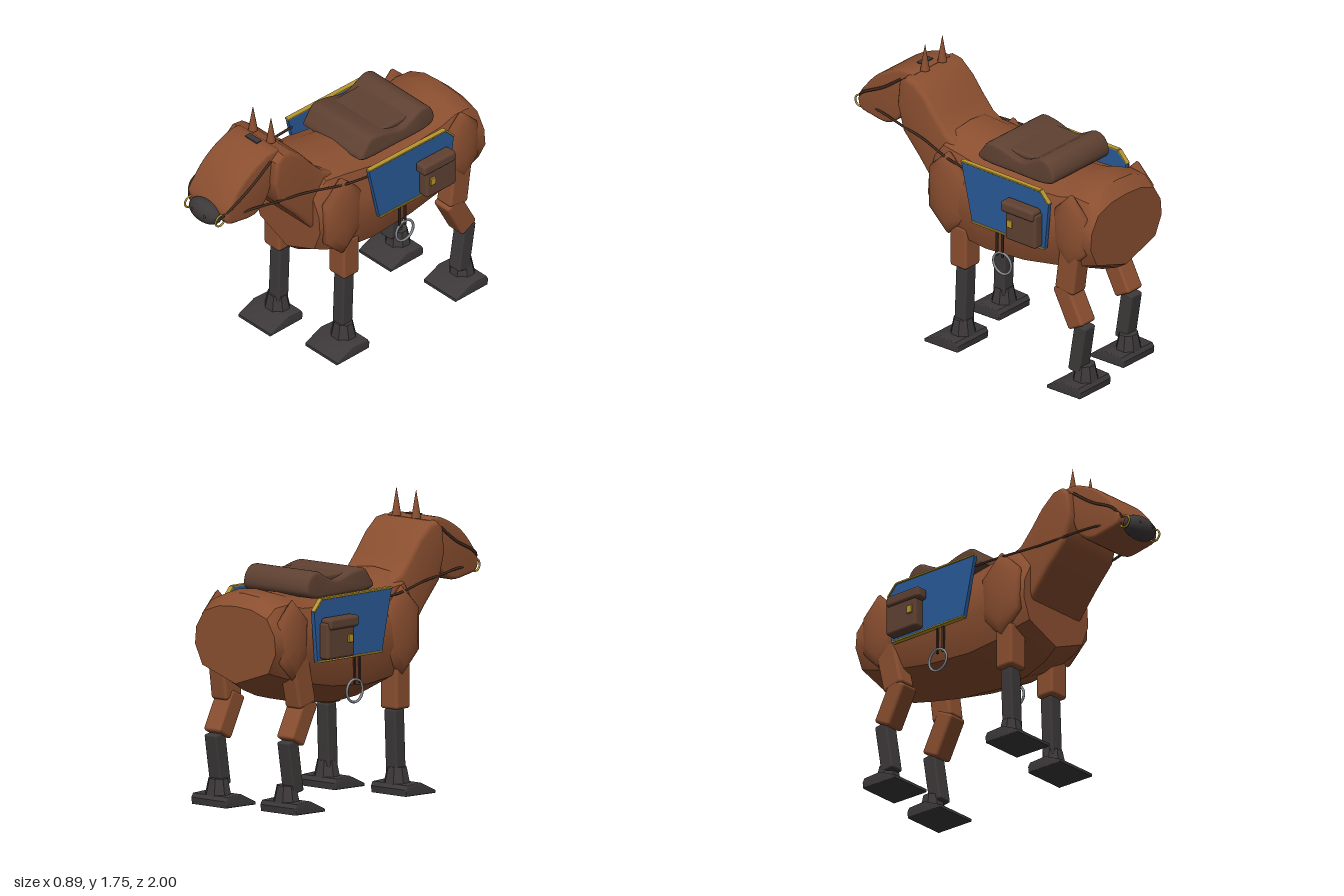
import * as THREE from 'three';
import { toCreasedNormals } from 'three/addons/utils/BufferGeometryUtils.js';
import { RoundedBoxGeometry } from 'three/addons/geometries/RoundedBoxGeometry.js';

const mat = (name, color) => Object.assign(new THREE.MeshStandardMaterial({ color }), { name });

export function createModel() {
  const model = new THREE.Group();
  model.name = 'packHorse';
  const coat = mat('chestnutCoat', 0x8b4f30);
  const dark = mat('darkLeg', 0x3d393a);
  const leather = mat('saddleLeather', 0x5f4132);
  const strap = mat('strapLeather', 0x3f2a20);
  const blue = mat('blanketBlue', 0x2a5a98);
  const gold = mat('goldTrim', 0xb8962f);
  const steel = mat('steel', 0x868c90);

  const add = (name, geometry, material, x = 0, y = 0, z = 0) => {
    const mesh = new THREE.Mesh(geometry, material);
    mesh.name = name;
    mesh.position.set(x, y, z);
    model.add(mesh);
    return mesh;
  };
  // Side profile given as [z, y] points, extruded across x
  const slab = (points, width, bevel, crease = 0.6) => {
    const shape = new THREE.Shape(points.map(([z, y]) => new THREE.Vector2(z, y)));
    const geo = new THREE.ExtrudeGeometry(shape, {
      depth: width - 2 * bevel, bevelEnabled: bevel > 0, bevelSize: bevel,
      bevelThickness: bevel, bevelOffset: -bevel, bevelSegments: 3,
    });
    geo.translate(0, 0, -(width - 2 * bevel) / 2).rotateY(-Math.PI / 2);
    return toCreasedNormals(geo, crease);
  };
  const smoothProfile = (points, n = 40) => new THREE.CatmullRomCurve3(
    points.map(([z, y]) => new THREE.Vector3(z, y, 0)), true, 'centripetal')
    .getPoints(n).slice(0, -1).map((p) => [p.x, p.y]);
  const tube = (name, points, radius, material) => {
    const curve = new THREE.CatmullRomCurve3(points.map((p) => new THREE.Vector3(...p)));
    return add(name, new THREE.TubeGeometry(curve, 16, radius, 6), material);
  };
  // Rounded block running between two [z, y] points
  const limb = (name, x, [z0, y0], [z1, y1], wx, wz, material, r = 0.012) => {
    const dz = z1 - z0, dy = y1 - y0;
    const geo = new RoundedBoxGeometry(wx, Math.hypot(dz, dy), wz, 2, r);
    add(name, geo, material, x, (y0 + y1) / 2, (z0 + z1) / 2).rotation.x = Math.atan2(dz, dy);
  };

  // Barrel: keeled cross-sections from chest to rump [z, bottom, top, half width]
  const half = [[0, -1], [0.82, -0.62], [1, -0.1], [0.97, 0.35], [0.78, 0.78], [0.4, 0.96], [0, 1]];
  const ring = [...half, ...half.slice(1, -1).reverse().map(([x, y]) => [-x, y])];
  const sections = [
    [0.285, 0.69, 1.2, 0.285], [0.2, 0.625, 1.32, 0.315], [0.05, 0.57, 1.31, 0.33],
    [-0.15, 0.555, 1.27, 0.335], [-0.45, 0.585, 1.26, 0.335], [-0.7, 0.64, 1.27, 0.33],
    [-0.82, 0.67, 1.305, 0.33], [-0.93, 0.715, 1.29, 0.325], [-1, 0.76, 1.22, 0.32],
  ];
  const n = ring.length, pos = [], idx = [];
  sections.forEach(([z, lo, hi, w]) => ring.forEach(([x, y]) =>
    pos.push(x * w, (lo + hi) / 2 + y * (hi - lo) / 2, z)));
  const last = (sections.length - 1) * n, front = pos.length / 3;
  pos.push(0, 0.95, 0.285, 0, 0.99, -1);
  for (let j = 0; j < n; j++) {
    const k = (j + 1) % n;
    for (let i = 0; i < last; i += n) idx.push(i + j, i + n + j, i + k, i + k, i + n + j, i + n + k);
    idx.push(front, j, k, front + 1, last + k, last + j);
  }
  const barrel = new THREE.BufferGeometry();
  barrel.setAttribute('position', new THREE.Float32BufferAttribute(pos, 3));
  barrel.setIndex(idx);
  add('body', toCreasedNormals(barrel, 0.62), coat);

  // Neck and head
  add('neck', slab([[0.28, 0.92], [0.42, 1.09], [0.54, 1.22], [0.585, 1.38], [0.57, 1.53], [0.52, 1.575],
    [0.45, 1.565], [0.36, 1.49], [0.28, 1.39], [0.2, 1.3], [0, 1.2], [0.05, 0.98]], 0.45, 0.03), coat);
  add('head', slab(smoothProfile([[0.5, 1.575], [0.57, 1.588], [0.68, 1.55], [0.79, 1.48], [0.88, 1.38],
    [0.925, 1.3], [0.91, 1.235], [0.82, 1.21], [0.7, 1.2], [0.61, 1.26], [0.55, 1.4]]), 0.35, 0.02), coat);
  add('muzzle', new THREE.SphereGeometry(1, 24, 16), dark, 0, 1.258, 0.935).scale.set(0.125, 0.073, 0.065);
  add('browPlate', new THREE.BoxGeometry(0.1, 0.02, 0.04), dark, 0, 1.585, 0.553);

  // Saddle and seat
  add('saddle', slab(smoothProfile([[-0.07, 1.26], [-0.1, 1.32], [-0.15, 1.377], [-0.25, 1.372], [-0.4, 1.335],
    [-0.49, 1.37], [-0.55, 1.4], [-0.61, 1.39], [-0.65, 1.34], [-0.655, 1.28], [-0.62, 1.25], [-0.35, 1.24]], 48),
  0.51, 0.02), leather);
  add('seat', new RoundedBoxGeometry(0.42, 0.04, 0.31, 3, 0.015), leather, 0, 1.345, -0.4);

  for (const s of [1, -1]) {
    const side = s > 0 ? 'left' : 'right';
    const part = (name, geo, material, x, y, z) => add(side + name, geo, material, s * x, y, z);

    // Muscle masses
    for (const [name, x, y, z, sx, sy, sz] of [
      ['Shoulder', 0.29, 0.98, 0.12, 0.06, 0.27, 0.165], ['Haunch', 0.295, 1.03, -0.83, 0.055, 0.24, 0.14]]) {
      const geo = new THREE.SphereGeometry(1, 6, 8).rotateX(Math.PI / 2).rotateY(Math.PI / 2);
      const vertical = geo.rotateX(Math.PI / 6);
      part(name, vertical, coat, x, y, z).scale.set(sx, sy, sz);
    }

    // Face details
    part('Ear', new THREE.ConeGeometry(0.029, 0.17, 12), coat, 0.078, 1.667, 0.485);
    part('Nostril', new THREE.SphereGeometry(0.012, 10, 8), strap, 0.05, 1.265, 0.99).scale.z = 0.6;
    part('BitRing', new THREE.TorusGeometry(0.036, 0.006, 8, 24).rotateY(Math.PI / 2), gold, 0.133, 1.255, 0.94);
    tube(side + 'CheekStrap', [[s * 0.14, 1.28, 0.93], [s * 0.178, 1.34, 0.89], [s * 0.178, 1.43, 0.72],
      [s * 0.178, 1.53, 0.58]], 0.009, strap);
    tube(side + 'Rein', [[s * 0.135, 1.25, 0.92], [s * 0.178, 1.265, 0.75], [s * 0.215, 1.25, 0.55],
      [s * 0.245, 1.235, 0.36], [s * 0.315, 1.21, 0.1], [s * 0.335, 1.2, -0.06]], 0.008, strap);

    // Blanket panel with gold edging
    const edge = [[-0.12, 0.89], [-0.68, 0.89], [-0.71, 1.19], [-0.645, 1.26], [-0.035, 1.26]];
    part('Blanket', slab(edge, 0.026, 0, 0.3), blue, 0.348, 0, 0);
    [[0, 1], [2, 3], [3, 4]].forEach(([a, b]) =>
      limb(side + 'BlanketTrim', s * 0.352, edge[a], edge[b], 0.034, 0.012, gold, 0.004));

    // Saddlebag
    part('BagPouch', new RoundedBoxGeometry(0.075, 0.22, 0.235, 3, 0.018), leather, 0.395, 1.015, -0.55);
    part('BagFlap', new RoundedBoxGeometry(0.085, 0.07, 0.255, 3, 0.02), leather, 0.402, 1.115, -0.53);
    part('BagBuckle', new RoundedBoxGeometry(0.02, 0.048, 0.04, 2, 0.004), gold, 0.434, 1.017, -0.475);

    // Stirrup straps and ring
    for (const z of [-0.295, -0.34]) {
      part('StirrupStrap', new THREE.BoxGeometry(0.012, 0.18, 0.014), strap, 0.342, 0.81, z);
    }
    part('StirrupRing', new THREE.TorusGeometry(0.068, 0.008, 8, 32).rotateY(Math.PI / 2), steel, 0.342, 0.68, -0.337);

    // Legs: the right pair stands slightly further forward
    const f = s > 0 ? 0 : 0.09, r = s > 0 ? 0 : 0.075;
    limb(side + 'FrontUpperLeg', s * 0.232, [0.045 + f, 0.51], [0.045 + f, 0.78], 0.135, 0.125, coat, 0.018);
    limb(side + 'FrontShin', s * 0.228, [0.055 + f, 0.12], [0.04 + f, 0.51], 0.09, 0.085, dark);
    limb(side + 'Thigh', s * 0.26, [-0.79 + r, 0.63], [-0.845 + r * 0.5, 1.04], 0.125, 0.145, coat, 0.02);
    limb(side + 'Hock', s * 0.255, [-0.755 + r, 0.66], [-0.88 + r, 0.42], 0.13, 0.125, coat, 0.018);
    limb(side + 'RearShin', s * 0.255, [-0.85 + r, 0.12], [-0.9 + r, 0.43], 0.095, 0.09, dark);
    for (const [name, z] of [['Front', f], ['Rear', -0.945 + r]]) {
      const ankle = new THREE.CylinderGeometry(0.062, 0.085, 0.1, 8).rotateY(Math.PI / 8);
      part(name + 'Ankle', toCreasedNormals(ankle, 0.3), dark, 0.237, 0.115, z + 0.055).scale.z = 0.88;
      part(name + 'Hoof', slab([[-0.02, 0.005], [0.235, 0], [0.235, 0.018], [0.205, 0.032], [0.11, 0.075],
        [-0.01, 0.07], [-0.025, 0.045]], 0.28, 0.006), dark, 0.24, 0, z);
    }
  }
  return model;
}
